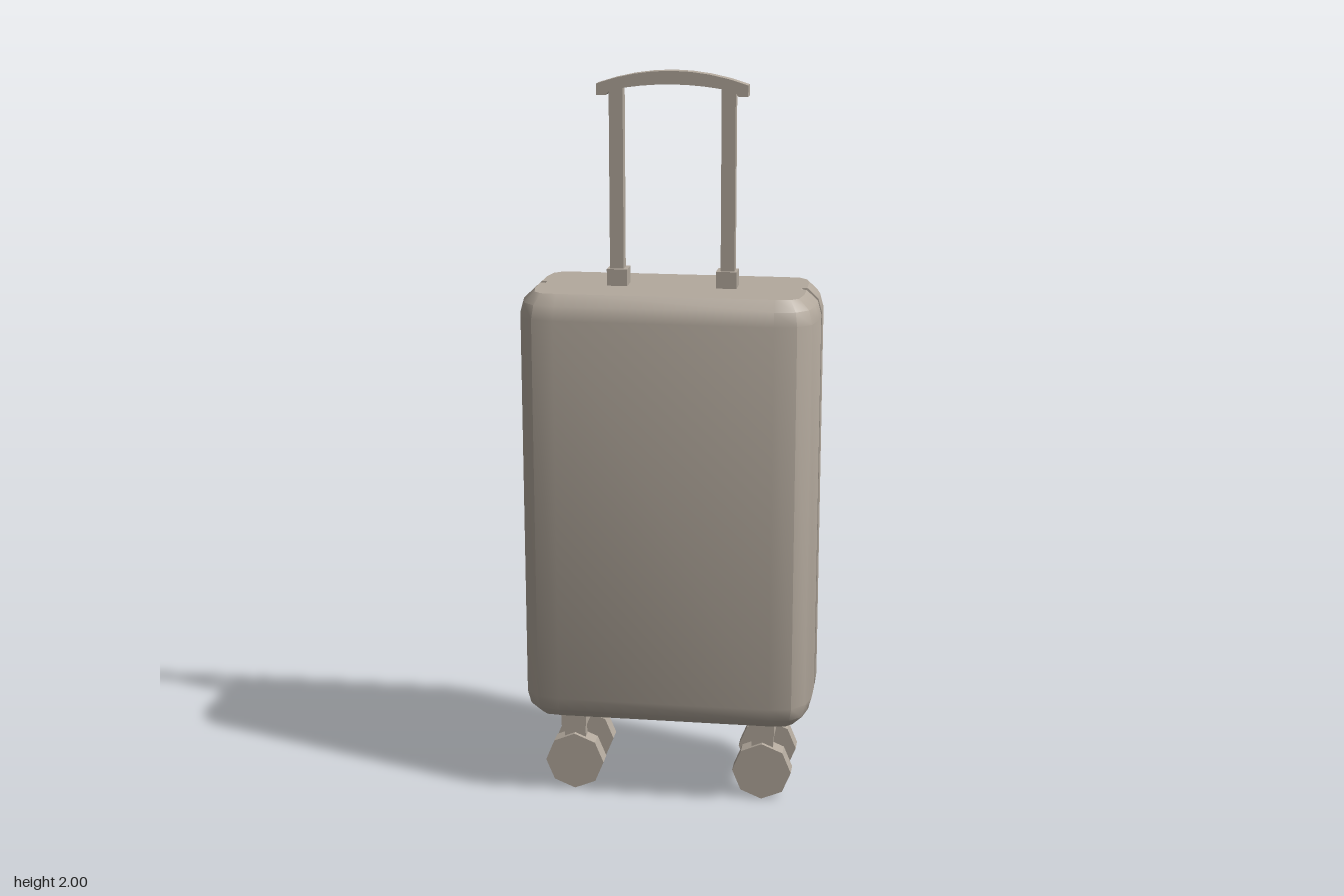
import * as THREE from 'three';
import { toCreasedNormals } from 'three/addons/utils/BufferGeometryUtils.js';

const shell = new THREE.MeshStandardMaterial({ color: 0xb3a99d });
shell.name = 'warm grey';

function add(parent, name, geometry, x = 0, y = 0, z = 0) {
  const mesh = new THREE.Mesh(geometry, shell);
  mesh.name = name;
  mesh.position.set(x, y, z);
  parent.add(mesh);
  return mesh;
}

// Quarter outline of the case: x, z, and how strongly the edge inset moves each.
// The first point is the floor of the seam groove.
const QUARTER = [
  [0.385, 0.012, 1, 0], [0.4, 0.013, 1, 0], [0.399, 0.09, 1, 0.2],
  [0.386, 0.15, 0.9, 0.4], [0.35, 0.187, 0.5, 0.8], [0.29, 0.199, 0, 1],
];

function outline(inset) {
  const q = QUARTER.map(([x, z, wx, wz]) => [x - wx * inset, z - wz * inset]);
  const half = [...q, ...q.slice().reverse().map(([x, z]) => [-x, z])];
  return [...half, ...half.slice().reverse().map(([x, z]) => [x, -z])];
}

// Case lofted through stacked outlines, closed at both ends
function caseGeometry() {
  const rings = [[0.04, 0.24], [0.01, 0.268], [0, 0.305], [0, 1.365], [0.01, 1.402], [0.04, 1.43]];
  const n = outline(0).length;
  const pos = [];
  const index = [];
  for (const [inset, y] of rings) for (const [x, z] of outline(inset)) pos.push(x, y, z);
  const last = (rings.length - 1) * n;
  const bottom = rings.length * n;
  pos.push(0, 0.24, 0, 0, 1.43, 0);
  for (let i = 0; i < n; i++) {
    const j = (i + 1) % n;
    for (let r = 0; r < last; r += n) {
      index.push(r + i, r + n + i, r + n + j, r + i, r + n + j, r + j);
    }
    index.push(bottom, i, j, bottom + 1, last + j, last + i);
  }
  const g = new THREE.BufferGeometry();
  g.setAttribute('position', new THREE.Float32BufferAttribute(pos, 3));
  g.setIndex(index);
  return toCreasedNormals(g, 0.58);
}

// Arched grip with a short lip at each end
function gripGeometry() {
  const s = new THREE.Shape();
  s.moveTo(-0.2, 1.935);
  s.lineTo(-0.175, 1.935);
  s.lineTo(-0.165, 1.948);
  s.quadraticCurveTo(0, 1.982, 0.165, 1.948);
  s.lineTo(0.175, 1.935);
  s.lineTo(0.2, 1.935);
  s.lineTo(0.2, 1.965);
  s.quadraticCurveTo(0, 2.035, -0.2, 1.965);
  const g = new THREE.ExtrudeGeometry(s, { depth: 0.04, bevelEnabled: false, curveSegments: 8 });
  g.translate(0, 0, -0.02);
  return toCreasedNormals(g, 0.5);
}

export function createModel() {
  const model = new THREE.Group();
  model.name = 'suitcase';
  add(model, 'case', caseGeometry());

  // Telescopic handle
  const handle = new THREE.Group();
  handle.name = 'handle';
  model.add(handle);
  add(handle, 'grip', gripGeometry());
  for (const sx of [-1, 1]) {
    add(handle, 'handlePost', new THREE.BoxGeometry(0.037, 0.53, 0.036), sx * 0.149, 1.69, 0);
    add(handle, 'postSocket', new THREE.BoxGeometry(0.055, 0.05, 0.058), sx * 0.147, 1.45, 0);
  }

  // Four casters, each with a mount, a neck and an eight-sided wheel
  const wheelGeometry = toCreasedNormals(
    new THREE.CylinderGeometry(0.082, 0.082, 0.048, 8).rotateX(Math.PI / 2), 0.5);
  for (const sx of [-1, 1]) {
    for (const sz of [-1, 1]) {
      const caster = new THREE.Group();
      caster.name = 'caster';
      caster.position.set(sx * 0.264, 0, sz * 0.085);
      model.add(caster);
      add(caster, 'casterMount', new THREE.BoxGeometry(0.07, 0.05, 0.068), 0, 0.218, 0);
      add(caster, 'casterNeck', new THREE.BoxGeometry(0.06, 0.06, 0.024), 0, 0.17, 0);
      add(caster, 'wheel', wheelGeometry, 0, 0.082, 0);
    }
  }
  return model;
}
